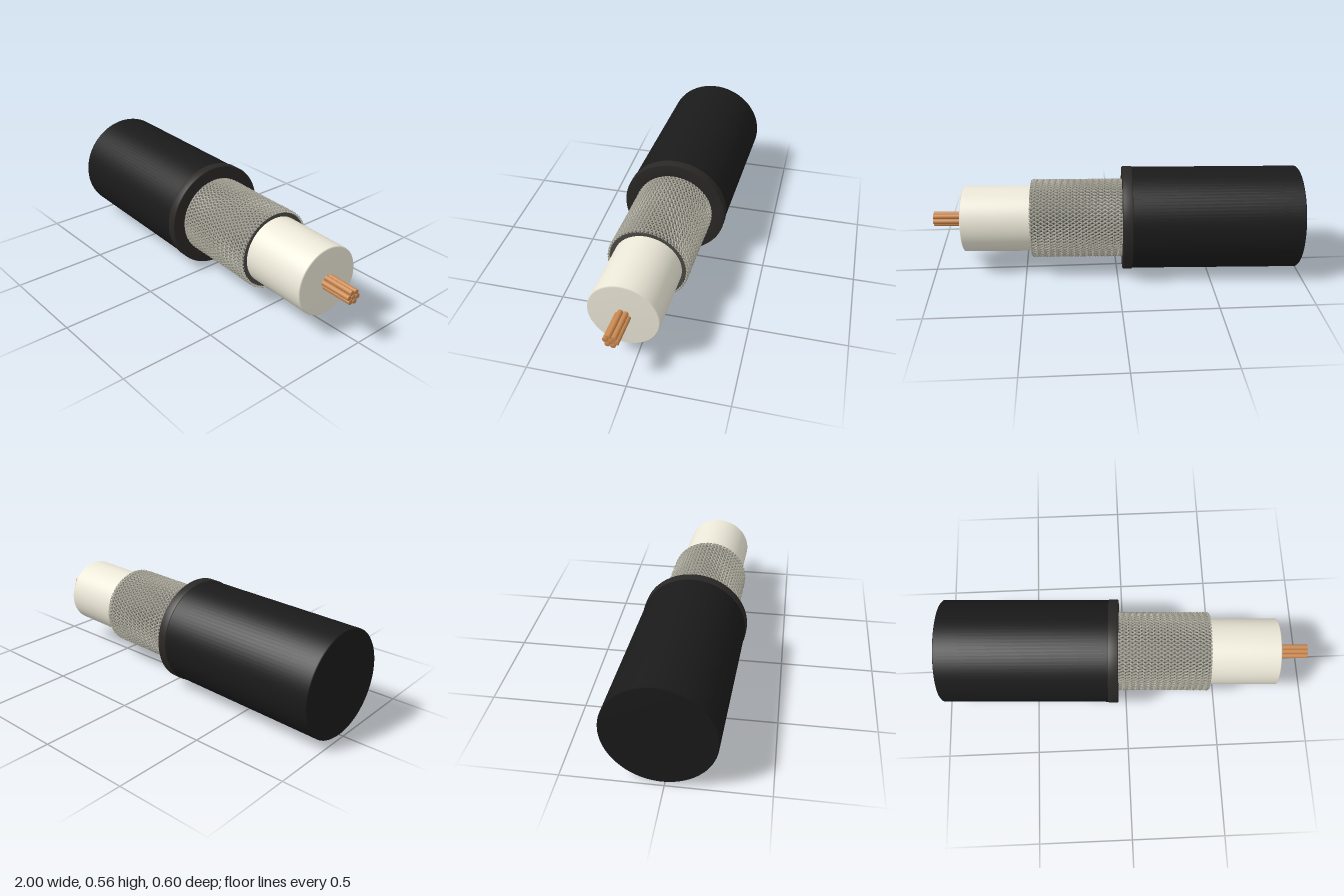
import * as THREE from 'three';
import { mergeGeometries } from 'three/addons/utils/BufferGeometryUtils.js';

const WIRES = 64;          // braid wires in each direction
const BRAID = [-0.06, 0.457];
const TWIST = 1.5;         // radians turned along the braid

// One braid wire: a helix that dips over and under the opposite wires
class BraidWire extends THREE.Curve {
  constructor(dir) {
    super();
    this.dir = dir;
  }
  getPoint(t, target = new THREE.Vector3()) {
    const w = t * TWIST;
    const r = 0.207 + this.dir * 0.004 * Math.cos(WIRES * w);
    const x = BRAID[0] + t * (BRAID[1] - BRAID[0]);
    return target.set(x, r * Math.cos(this.dir * w), r * Math.sin(this.dir * w));
  }
}

// Turned solid lying along x; profile is a list of [radius, x]
function turned(name, color, profile, segments = 96) {
  const points = profile.map(([r, x]) => new THREE.Vector2(r, x));
  const geometry = new THREE.LatheGeometry(points, segments).rotateZ(-Math.PI / 2);
  return named(name, color, geometry);
}

function named(name, color, geometry) {
  const mesh = new THREE.Mesh(geometry, new THREE.MeshStandardMaterial({ color }));
  mesh.name = name;
  return mesh;
}

// Solid rod with small bevels at both ends
function rod(r, x0, x1, bevel) {
  return [[0, x0], [r - bevel, x0], [r, x0 + bevel], [r, x1 - bevel], [r - bevel, x1], [0, x1]];
}

export function createModel() {
  const cable = new THREE.Group();
  cable.name = 'strippedCable';

  // Outer jacket with the slightly wider cut collar
  cable.add(turned('jacket', 0x1a1a1a, rod(0.278, -0.987, -0.06, 0.006)));
  cable.add(turned('jacketCollar', 0x2a2826, [
    [0.21, -0.088], [0.277, -0.088], [0.2825, -0.083], [0.2825, -0.038],
    [0.278, -0.033], [0.217, -0.033], [0.21, -0.04],
  ]));

  // Dark sleeve beneath the braid
  cable.add(turned('shieldSleeve', 0x4a4945, rod(0.203, -0.06, 0.452, 0.002)));

  // Woven shield: two sets of opposing helical wires
  const wires = [];
  for (const dir of [1, -1]) {
    const wire = new THREE.TubeGeometry(new BraidWire(dir), 60, 0.005, 4, false);
    for (let i = 0; i < WIRES; i++) {
      wires.push(wire.clone().rotateX((i / WIRES) * Math.PI * 2));
    }
  }
  const braid = named('braidedShield', 0xa9a799, mergeGeometries(wires));
  braid.material.side = THREE.DoubleSide;
  cable.add(braid);

  // Pale insulation around the conductor
  cable.add(turned('insulation', 0xece8d8, rod(0.18, 0.4, 0.829, 0.006)));

  // Seven copper strands: one in the middle, six around it
  const conductor = new THREE.Group();
  conductor.name = 'conductor';
  for (let i = 0; i < 7; i++) {
    const strand = turned('copperStrand', 0xc98850, rod(0.0135, 0.79, 0.998, 0.002), 20);
    if (i > 0) {
      const a = 0.15 + (i * Math.PI) / 3;
      strand.position.set(0, 0.027 * Math.sin(a), 0.027 * Math.cos(a));
    }
    conductor.add(strand);
  }
  cable.add(conductor);

  // The cable rests with a slight turn
  cable.rotation.y = -0.0455;
  cable.position.set(0, 0.2825, 0.018);

  const model = new THREE.Group();
  model.name = 'cableModel';
  model.add(cable);
  return model;
}
